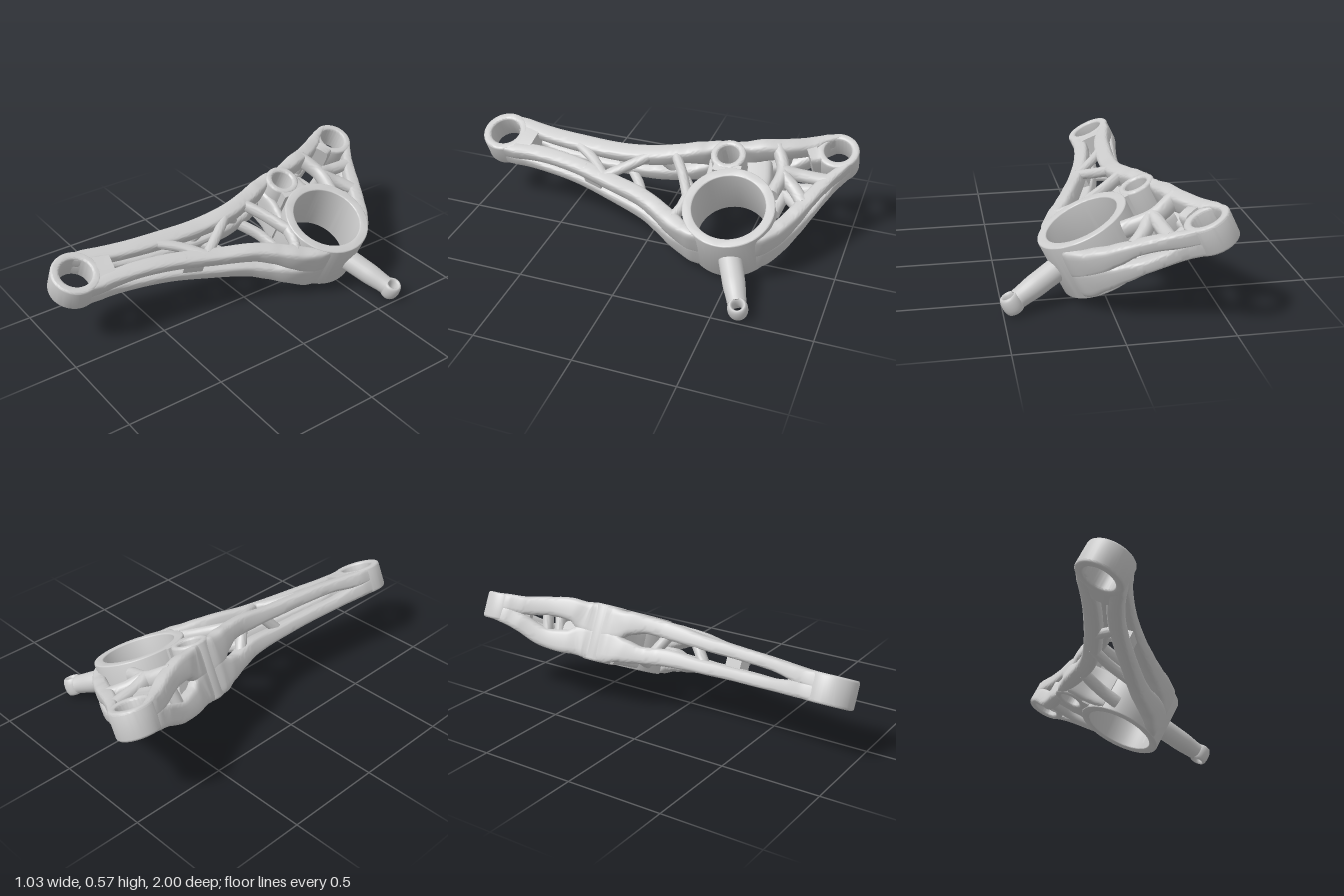
import * as THREE from 'three';
import { toCreasedNormals } from 'three/addons/utils/BufferGeometryUtils.js';

const material = new THREE.MeshStandardMaterial({ color: 0xcccccc });

// Piecewise-linear lookup in a short table of [key, value]
function lookup(table, k) {
  if (k <= table[0][0]) return table[0][1];
  for (let i = 1; i < table.length; i++) {
    const [k0, v0] = table[i - 1], [k1, v1] = table[i];
    if (k <= k1) return v0 + (v1 - v0) * (k - k0) / (k1 - k0);
  }
  return table[table.length - 1][1];
}

// Upper and lower envelope of the casting along its length
const topAt = z => lookup([[-0.9, 0.325], [-0.74, 0.343], [-0.57, 0.39], [-0.3, 0.393], [0, 0.38],
  [0.2, 0.355], [0.5, 0.337], [0.8, 0.314]], z);
const bottomAt = z => lookup([[-0.9, 0.191], [-0.8, 0.173], [-0.65, 0.112], [-0.57, 0.106], [-0.3, 0.106],
  [-0.2, 0.135], [0, 0.162], [0.3, 0.176], [0.8, 0.178]], z);

// Rounded section swept along [x, y, z, width, height] stations
function sweep(stations, power = 0.5, sides = 24) {
  const curve = new THREE.CatmullRomCurve3(stations.map(s => new THREE.Vector3(s[0], s[1], s[2])));
  const spans = stations.length - 1, rings = spans * 8, pos = [], idx = [];
  const up = new THREE.Vector3(0, 1, 0);
  const soft = v => Math.sign(v) * Math.abs(v) ** power;
  for (let i = 0; i <= rings; i++) {
    const t = i / rings, k = Math.min(Math.floor(t * spans), spans - 1);
    const f = THREE.MathUtils.smoothstep(t * spans - k, 0, 1);
    const size = c => stations[k][c] + (stations[k + 1][c] - stations[k][c]) * f;
    const p = curve.getPoint(t), T = curve.getTangent(t);
    const S = up.clone().cross(T).normalize(), U = T.clone().cross(S);
    for (let j = 0; j < sides; j++) {
      const a = j / sides * Math.PI * 2;
      const q = p.clone().addScaledVector(S, soft(Math.cos(a)) * size(3) / 2)
        .addScaledVector(U, soft(Math.sin(a)) * size(4) / 2);
      pos.push(q.x, q.y, q.z);
    }
  }
  for (let i = 0; i < rings; i++) for (let j = 0; j < sides; j++) {
    const a = i * sides + j, b = i * sides + (j + 1) % sides;
    idx.push(a, b, a + sides, b, b + sides, a + sides);
  }
  const last = rings * sides;
  for (let j = 1; j < sides - 1; j++) idx.push(0, j + 1, j, last, last + j, last + j + 1);
  const g = new THREE.BufferGeometry();
  g.setAttribute('position', new THREE.Float32BufferAttribute(pos, 3));
  g.setIndex(idx);
  return toCreasedNormals(g, 0.9);
}

// Upright bored boss with softened edges, spanning y0 to y1
function ring(x, z, outer, bore, y0, y1, bevel) {
  const shape = new THREE.Shape().absarc(0, 0, outer, 0, Math.PI * 2);
  shape.holes.push(new THREE.Path().absarc(0, 0, bore, 0, Math.PI * 2, true));
  const g = new THREE.ExtrudeGeometry(shape, {
    depth: y1 - y0 - 2 * bevel, bevelThickness: bevel, bevelSize: bevel, bevelOffset: -bevel,
    bevelSegments: 3, curveSegments: 32
  });
  g.rotateX(-Math.PI / 2).translate(x, y0 + bevel, z);
  return toCreasedNormals(g, 0.6);
}

export function createModel() {
  const model = new THREE.Group();
  model.name = 'bracket';
  const body = new THREE.Group();
  body.name = 'tiltedBody';
  body.rotation.z = -THREE.MathUtils.degToRad(25.5);
  model.add(body);
  const add = (name, geometry) => {
    const mesh = new THREE.Mesh(geometry, material);
    mesh.name = name;
    body.add(mesh);
  };

  // Rail hugging the upper or lower envelope, through [x, z, width, share of the full height];
  // where the share passes a half, the upper and lower rails fuse into a wall
  const levels = ['upper', 'lower'];
  const rail = (name, level, points, power) => add(level + name, sweep(points.map(([x, z, w, share]) => {
    const h = share * (topAt(z) - bottomAt(z));
    return [x, level === 'upper' ? topAt(z) - h / 2 : bottomAt(z) + h / 2, z, w, h];
  }), power));
  // Wall filling the whole height, through [x, z, width] points
  const wall = (name, points) => add(name, sweep(points.map(([x, z, w]) =>
    [x, (topAt(z) + bottomAt(z)) / 2, z, w, topAt(z) - bottomAt(z)]), 0.35, 28));

  // Bored bosses
  add('hub', ring(-0.067, -0.46, 0.229, 0.182, 0.103, 0.396, 0.006));
  add('sideBoss', ring(-0.372, -0.375, 0.09, 0.055, 0.103, 0.396, 0.012));
  add('frontEye', ring(-0.318, 0.877, 0.123, 0.08, 0.177, 0.316, 0.012));
  add('rearEye', ring(-0.557, -0.893, 0.107, 0.068, 0.189, 0.326, 0.012));

  // Bridge and curved web joining hub and side boss
  add('bossBridge', new THREE.BoxGeometry(0.05, 0.286, 0.14).translate(-0.289, 0.25, -0.39));
  add('bossWeb', sweep([[-0.39, 0.215, -0.287, 0.05, 0.21], [-0.29, 0.215, -0.295, 0.05, 0.21],
    [-0.18, 0.215, -0.275, 0.05, 0.21]]));

  // Rails of the front and rear arms, fused at the hub and at the eyes
  const rails = {
    FrontInnerRail: [[0.121, -0.38, 0.034, 0.6], [0.096, -0.29, 0.068, 0.6], [0.044, -0.19, 0.09, 0.5],
      [-0.01, -0.1, 0.085, 0.42], [-0.06, 0, 0.08, 0.39], [-0.128, 0.2, 0.08, 0.39], [-0.188, 0.4, 0.08, 0.39],
      [-0.224, 0.6, 0.08, 0.4], [-0.232, 0.77, 0.075, 0.56], [-0.213, 0.875, 0.034, 0.6]],
    FrontOuterRail: [[-0.447, -0.37, 0.024, 0.6], [-0.423, -0.3, 0.065, 0.6], [-0.392, -0.22, 0.085, 0.45],
      [-0.36, -0.13, 0.085, 0.36], [-0.325, 0, 0.09, 0.4], [-0.316, 0.2, 0.09, 0.38], [-0.328, 0.4, 0.09, 0.38],
      [-0.352, 0.6, 0.085, 0.4], [-0.392, 0.77, 0.075, 0.56], [-0.423, 0.875, 0.034, 0.6]],
    RearInnerRail: [[0.091, -0.58, 0.034, 0.6], [0.04, -0.651, 0.062, 0.6], [-0.045, -0.713, 0.075, 0.58],
      [-0.14, -0.763, 0.075, 0.5], [-0.24, -0.81, 0.07, 0.4], [-0.33, -0.852, 0.065, 0.44],
      [-0.425, -0.908, 0.05, 0.57], [-0.508, -0.971, 0.028, 0.6]],
    RearOuterRail: [[-0.447, -0.38, 0.024, 0.6], [-0.45, -0.44, 0.06, 0.58], [-0.472, -0.52, 0.08, 0.42],
      [-0.512, -0.64, 0.08, 0.38], [-0.572, -0.755, 0.075, 0.5], [-0.617, -0.82, 0.05, 0.58],
      [-0.649, -0.89, 0.026, 0.6]]
  };
  for (const level of levels)
    for (const name in rails) rail(name, level, rails[name]);

  // Solid necks ahead of the two eyes, and the divider between the inner side slots
  wall('frontNeck', [[-0.297, 0.69, 0.14], [-0.31, 0.785, 0.2]]);
  wall('rearNeck', [[-0.5, -0.765, 0.09], [-0.525, -0.81, 0.1]]);
  wall('slotDivider', [[-0.145, 0.25, 0.06], [-0.175, 0.35, 0.06]]);

  // Diagonal braces within the upper and lower faces
  const braces = {
    upper: [
      [[-0.34, -0.1], [-0.23, -0.17], [-0.1, -0.235]],
      [[-0.33, 0], [-0.24, 0.11], [-0.15, 0.23]],
      [[-0.15, 0.24], [-0.24, 0.33], [-0.33, 0.46]],
      [[-0.11, -0.235], [-0.02, -0.22], [0.04, -0.19]]
    ],
    lower: [
      [[-0.34, -0.12], [-0.23, -0.2], [-0.12, -0.24]],
      [[-0.32, 0.17], [-0.21, 0.08], [-0.06, 0.01]],
      [[-0.33, 0.28], [-0.26, 0.38], [-0.2, 0.46]]
    ]
  };
  // Lattice of the rear arm, repeated on both faces
  const rearBraces = [
    [[-0.5, -0.6], [-0.37, -0.655], [-0.22, -0.635]],
    [[-0.38, -0.87], [-0.375, -0.75], [-0.37, -0.65]],
    [[-0.22, -0.79], [-0.29, -0.73], [-0.35, -0.655]]
  ];
  const sized = (points, w, share) => points.map(p => [...p, w, share]);
  for (const level of levels) {
    braces[level].forEach(b => rail('FrontBrace', level, sized(b, 0.052, 0.26), 0.9));
    rearBraces.forEach(b => rail('RearBrace', level, sized(b, 0.066, 0.33), 0.9));
  }

  // Web closing the pocket behind the side boss
  add('pocketWeb', sweep([[-0.45, 0.2, -0.5, 0.15, 0.15], [-0.36, 0.2, -0.52, 0.15, 0.15],
    [-0.27, 0.2, -0.54, 0.13, 0.15]]));

  // Slanted posts tying the upper rails to the lower ones
  const posts = [
    [-0.345, -0.1, -0.328, 0.0], [-0.32, 0.22, -0.32, 0.12],
    [-0.505, -0.62, -0.515, -0.66], [-0.37, -0.645, -0.37, -0.69]
  ];
  posts.forEach(([x0, z0, x1, z1]) => add('post', sweep([
    [x0, bottomAt(z0) + 0.03, z0, 0.06, 0.055], [x1, topAt(z1) - 0.03, z1, 0.06, 0.055]], 1)));

  // Stub shaft ending in a rounded, cross-drilled tip
  add('shaft', sweep([[0.14, 0.25, -0.515, 0.115, 0.115], [0.25, 0.25, -0.563, 0.112, 0.112],
    [0.362, 0.25, -0.611, 0.094, 0.096]], 1));
  add('shaftTip', new THREE.TorusGeometry(0.035, 0.015, 16, 32).rotateX(Math.PI / 2)
    .scale(1, 3, 1).translate(0.388, 0.25, -0.622));

  return model;
}
